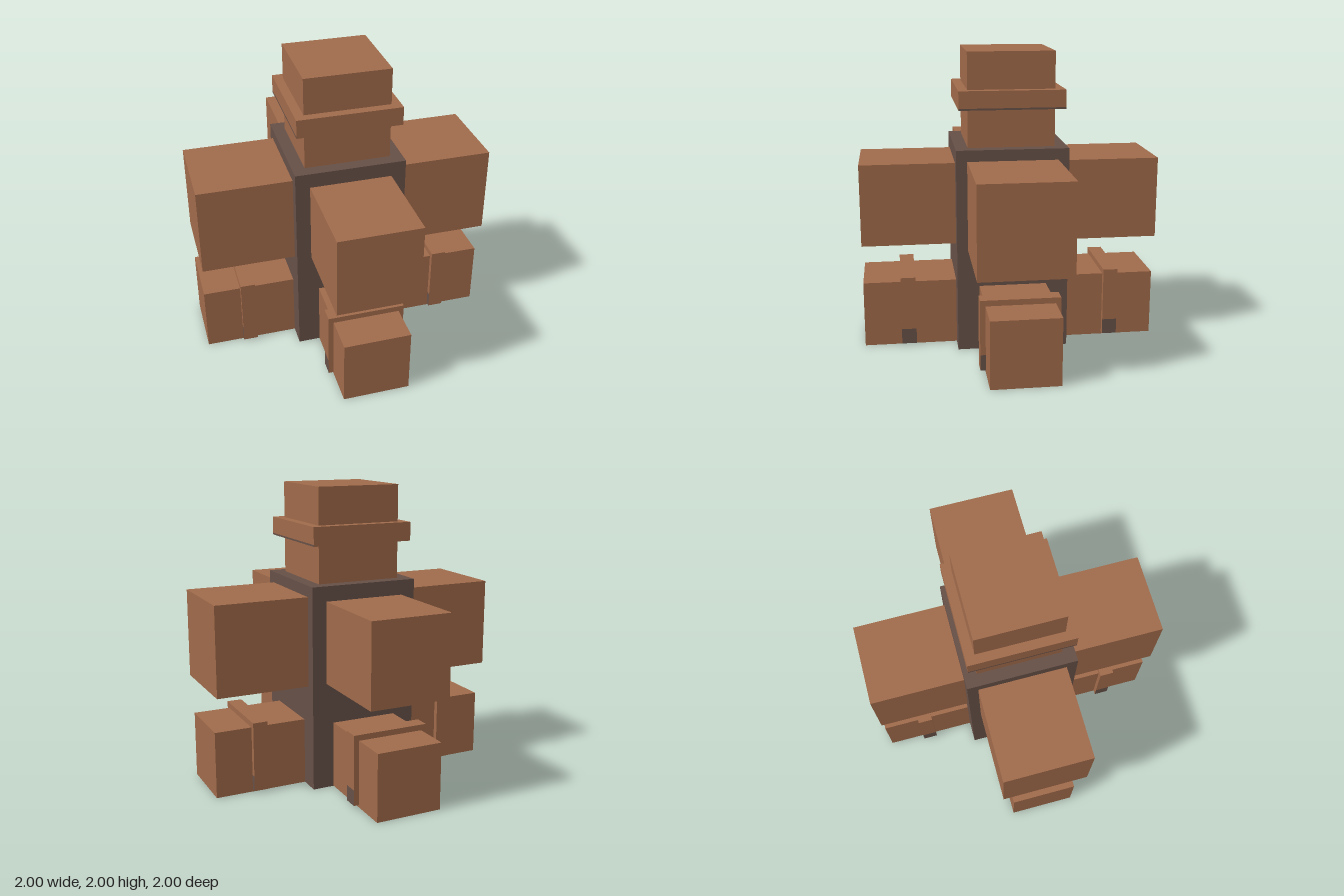
import * as THREE from 'three';

export function createModel() {
  const model = new THREE.Group();
  model.name = 'crossBeamPost';

  const wood = new THREE.MeshStandardMaterial({ color: 0xa06a4a });
  wood.name = 'wood';
  const darkWood = new THREE.MeshStandardMaterial({ color: 0x665047 });
  darkWood.name = 'darkWood';

  // Box given by its lower and upper corners
  function box(name, [x0, y0, z0], [x1, y1, z1], material) {
    const mesh = new THREE.Mesh(new THREE.BoxGeometry(x1 - x0, y1 - y0, z1 - z0), material);
    mesh.position.set((x0 + x1) / 2, (y0 + y1) / 2, (z0 + z1) / 2);
    mesh.name = name;
    model.add(mesh);
  }

  // Band whose underside and lower x-facing strips are dark
  const bandFoot = [darkWood, darkWood, wood, darkWood, wood, wood];
  function band(name, [x0, y0, z0], [x1, y1, z1], strip) {
    box(name + 'Foot', [x0, y0, z0], [x1, y0 + strip, z1], bandFoot);
    box(name, [x0, y0 + strip, z0], [x1, y1, z1], wood);
  }

  const core = 0.372;

  // Central post, neck and neck band
  box('post', [-core, 0, -core], [core, 1.375, core], darkWood);
  box('neck', [-0.288, 1.375, -0.288], [0.288, 2, 0.288], wood);
  band('neckBand', [-0.35, 1.63, -0.35], [0.35, 1.755, 0.35], 0.012);

  // Four upper beams and four banded lower beams
  for (const s of [-1, 1]) {
    const span = (a, b) => (s > 0 ? [a, b] : [-b, -a]);
    const [a, b] = span(core, 1);
    const [c, d] = span(0.65, 0.75);
    const side = s > 0 ? 'left' : 'right';
    const end = s > 0 ? 'front' : 'back';

    box(side + 'UpperBeam', [a, 0.7, -0.3], [b, 1.3, 0.3], wood);
    box(end + 'UpperBeam', [-0.275, 0.725, a], [0.275, 1.275, b], wood);

    box(side + 'LowerBeam', [a, 0, -0.225], [b, 0.45, 0.225], wood);
    box(end + 'LowerBeam', [-0.225, 0, a], [0.225, 0.45, b], wood);

    band(side + 'BeamBand', [c, 0.015, -0.26], [d, 0.488, 0.26], 0.105);
    band(end + 'BeamBand', [-0.26, 0.015, c], [0.26, 0.488, d], 0.105);
  }

  return model;
}
